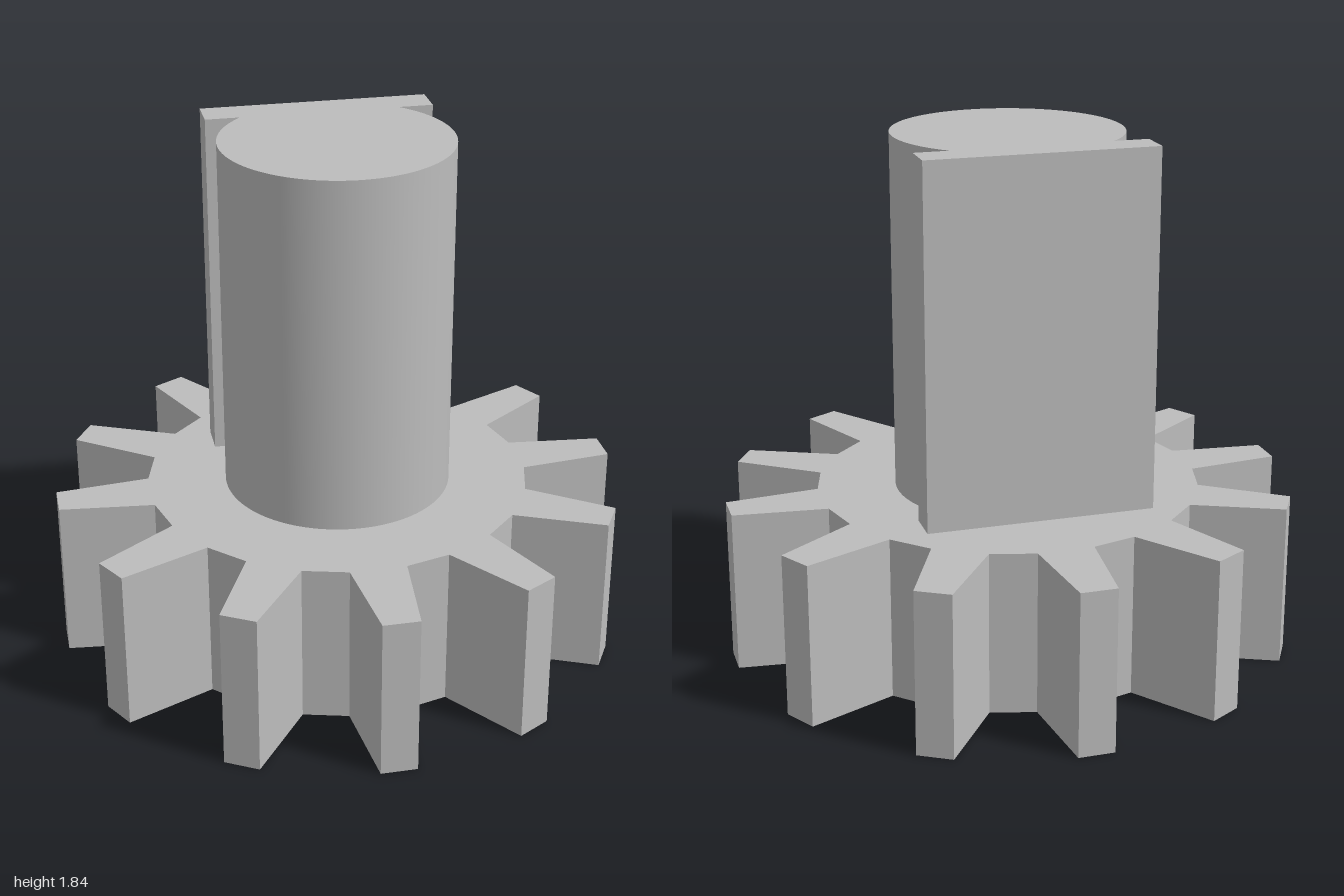
import * as THREE from 'three';
import { toCreasedNormals } from 'three/addons/utils/BufferGeometryUtils.js';

const TEETH = 12;
const GEAR_HEIGHT = 0.575;
const TOP = 1.835;
const SHAFT_RADIUS = 0.4;
const BORE_RADIUS = 0.16;

// Extrude a plan outline upwards; outline +y becomes the back (-z).
function extrudeUp(shape, base, height) {
  const geometry = new THREE.ExtrudeGeometry(shape, {
    depth: height, bevelEnabled: false, curveSegments: 64,
  });
  geometry.rotateX(-Math.PI / 2);
  geometry.translate(0, base, 0);
  return toCreasedNormals(geometry, Math.PI / 9);
}

// Gear outline: one tapered tooth repeated around the centre, with a bore.
function gearShape() {
  const tooth = [[0.097, 0.67], [0.063, 1], [-0.063, 1], [-0.097, 0.67]];
  const points = [];
  for (let i = 0; i < TEETH; i++) {
    const angle = (i / TEETH) * Math.PI * 2;
    for (const [x, y] of tooth) {
      points.push(new THREE.Vector2(x, y).rotateAround(new THREE.Vector2(), angle));
    }
  }
  const shape = new THREE.Shape(points);
  shape.holes.push(new THREE.Path().absarc(0, 0, BORE_RADIUS, 0, Math.PI * 2, true));
  return shape;
}

// Shaft outline: a round joined to a flat plate across the back.
function shaftShape() {
  const inner = 0.287, outer = 0.41;
  const start = Math.asin(inner / SHAFT_RADIUS);
  const shape = new THREE.Shape();
  shape.moveTo(SHAFT_RADIUS, inner);
  shape.lineTo(SHAFT_RADIUS, outer);
  shape.lineTo(-SHAFT_RADIUS, outer);
  shape.lineTo(-SHAFT_RADIUS, inner);
  shape.absarc(0, 0, SHAFT_RADIUS, Math.PI - start, Math.PI * 2 + start, false);
  shape.closePath();
  return shape;
}

export function createModel() {
  const model = new THREE.Group();
  model.name = 'gearWithShaft';

  const grey = new THREE.MeshStandardMaterial({ color: 0xbcbcbc });
  grey.name = 'grey';

  const gear = new THREE.Mesh(extrudeUp(gearShape(), 0, GEAR_HEIGHT), grey);
  gear.name = 'gear';

  // The underside of the shaft closes the bore.
  const shaft = new THREE.Mesh(extrudeUp(shaftShape(), GEAR_HEIGHT, TOP - GEAR_HEIGHT), grey);
  shaft.name = 'shaftWithBackPlate';

  model.add(gear, shaft);
  return model;
}
